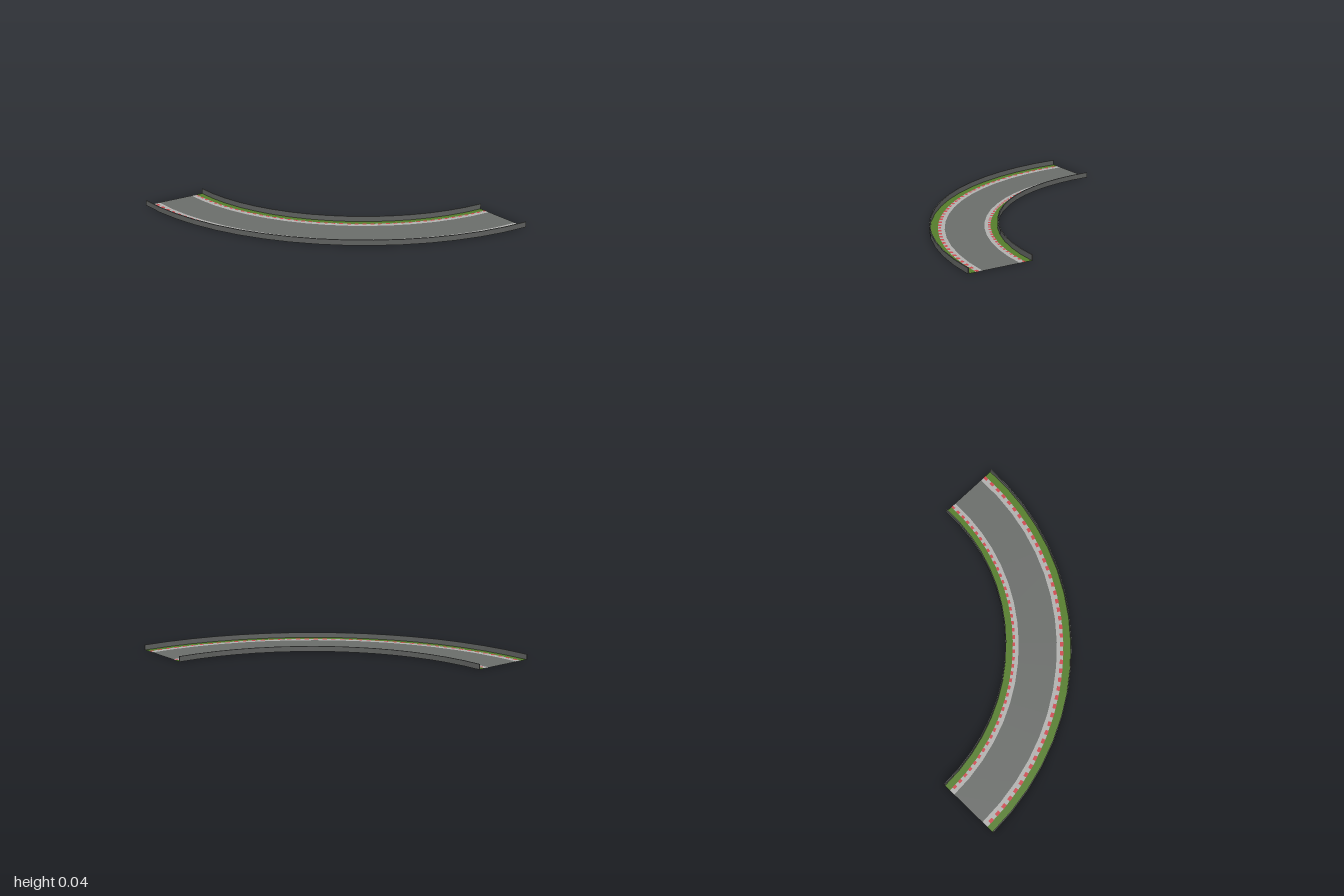
import * as THREE from 'three';
import { mergeGeometries } from 'three/addons/utils/BufferGeometryUtils.js';

const SEGMENTS = 16; // facets in the quarter turn
const DASHES = 44; // red and white pairs along each kerb
const TURN = Math.PI / 2;

function material(name, color) {
  const m = new THREE.MeshStandardMaterial({ color, side: THREE.DoubleSide });
  m.name = name;
  return m;
}

// Sweeps a [radius, height] profile around the turn centre, with flat facets
function sweep(profile, segments = SEGMENTS, start = 0, length = TURN) {
  const points = profile.map(([r, y]) => new THREE.Vector2(r, y));
  const geometry = new THREE.LatheGeometry(points, segments, start, length).toNonIndexed();
  geometry.computeVertexNormals();
  return geometry;
}

// Flat upward-facing band between two radii
const band = (inner, outer, y, ...arc) => sweep([[outer, y], [inner, y]], ...arc);

export function createModel() {
  const asphalt = material('asphalt grey', 0x6a6d6a);
  const kerbWhite = material('kerb light grey', 0xb0b0ae);
  const kerbRed = material('kerb red', 0xcc4a50);
  const grass = material('grass green', 0x557d2b);
  const barrier = material('barrier grey', 0x5e605e);

  const group = new THREE.Group();
  group.name = 'curvedRoad';
  const add = (name, geometry, mat) => {
    const mesh = new THREE.Mesh(geometry, mat);
    mesh.name = name;
    mesh.position.set(-1, 0, -1); // centre of the turn
    group.add(mesh);
  };

  // Road surface
  add('roadSurface', band(1.61, 1.89, 0.001), asphalt);

  // Verge, kerb, dashes and barrier on each side
  const sides = [
    { name: 'inner', kerb: [1.567, 1.61], dash: [1.565, 1.584], verge: [1.515, 1.567], wall: [1.51, 1.518] },
    { name: 'outer', kerb: [1.89, 1.938], dash: [1.914, 1.938], verge: [1.938, 1.995], wall: [1.992, 2] },
  ];
  for (const { name, kerb, dash, verge, wall } of sides) {
    add(name + 'Kerb', band(...kerb, 0.001), kerbWhite);
    add(name + 'Verge', band(...verge, 0.001), grass);

    // Red dashes fill the second half of each pair
    const step = TURN / DASHES;
    const dashes = [];
    for (let i = 0; i < DASHES; i++) {
      dashes.push(band(...dash, 0.003, 1, (i + 0.5) * step, step / 2));
    }
    add(name + 'KerbDashes', mergeGeometries(dashes), kerbRed);

    // Low barrier with closed ends
    const [a, b] = wall;
    const height = 0.04;
    const ring = sweep([[b, 0], [b, height], [a, height], [a, 0], [b, 0]]);
    const caps = [0, TURN].map((angle) =>
      new THREE.PlaneGeometry(b - a, height)
        .rotateY(angle ? Math.PI : Math.PI / 2)
        .translate(angle ? (a + b) / 2 : 0, height / 2, angle ? 0 : (a + b) / 2)
        .rotateY(angle ? 0 : Math.PI * 2)
        .toNonIndexed());
    add(name + 'Barrier', mergeGeometries([ring, ...caps]), barrier);
  }
  return group;
}
